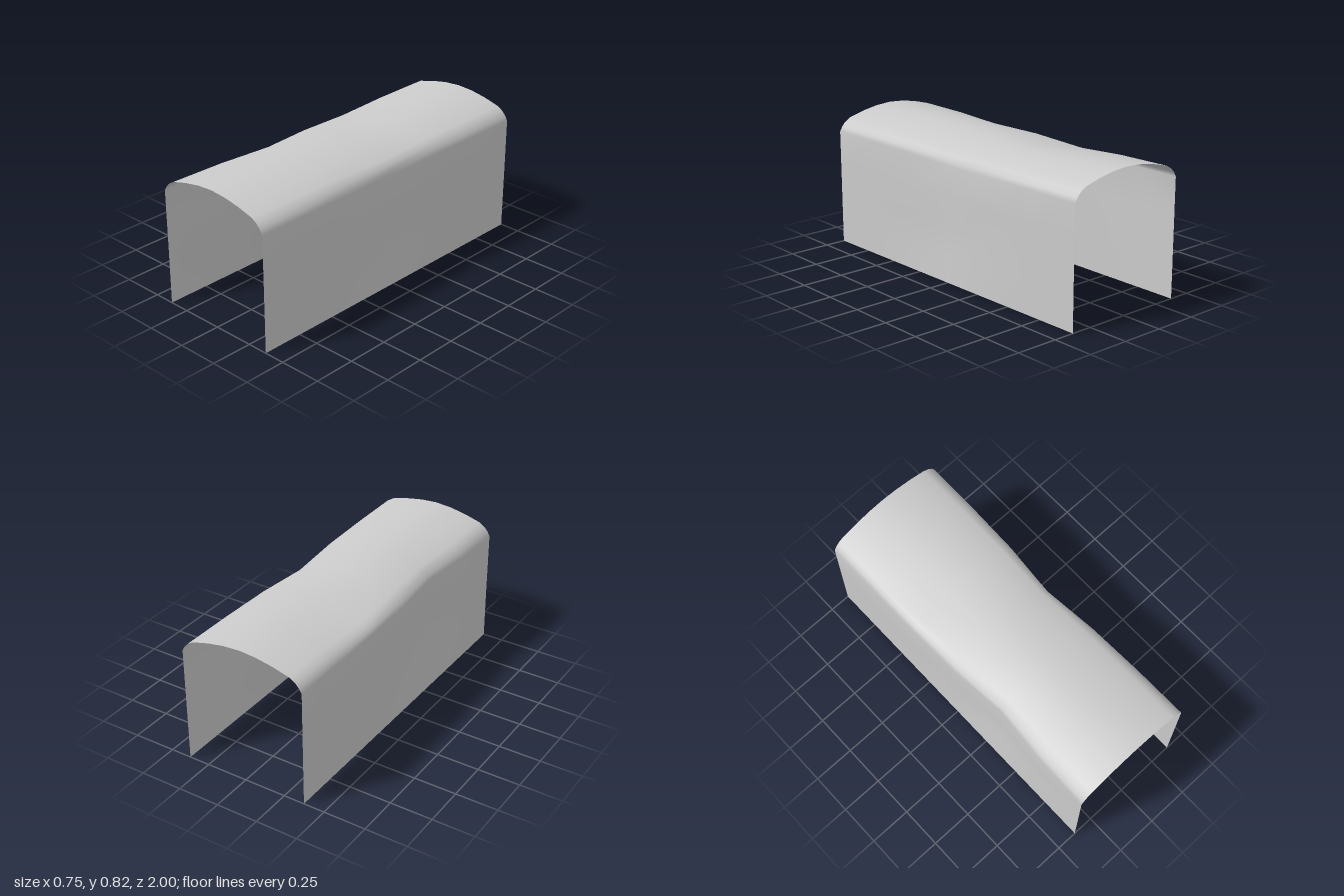
import * as THREE from 'three';

// Half of the arch cross-section, from the foot of the wall to the crown: [x, y]
const HALF = [
  [0.375, 0], [0.375, 0.17], [0.375, 0.33], [0.375, 0.49], [0.375, 0.69], [0.36, 0.717],
  [0.338, 0.742], [0.3, 0.765], [0.2, 0.792], [0.1, 0.81], [0, 0.817],
];
const SECTION = [
  ...HALF.map(([x, y]) => [-x, y]),
  ...HALF.slice(0, -1).reverse(),
];

// Dents: z of the deepest point, first column affected, and [dx, dy] per column
const DENTS = [
  // -x wall and shoulder
  { z: 1 / 3, start: 1, push: [[0.016, 0], [0.036, 0], [0.038, 0], [0.04, 0], [0.036, -0.005], [0.037, -0.006], [0.025, -0.008], [0.008, -0.006]] },
  // +x shoulder and wall
  { z: 0, start: 11, push: [[0, -0.008], [-0.004, -0.014], [-0.012, -0.023], [-0.018, -0.024], [-0.028, -0.025], [-0.037, -0.025], [-0.021, 0], [-0.028, 0], [-0.014, 0]] },
  // roof
  { z: -1 / 3, start: 5, push: [[0, -0.008], [0, -0.016], [0, -0.028], [0, -0.035], [0, -0.036], [0, -0.027], [0, -0.013], [0, -0.004]] },
];
const FALLOFF = [1, 0.28, 0.05, 0, 0, 0, 0];
const ROWS = 6;

function createShell() {
  const positions = [];
  const indices = [];
  const cols = SECTION.length;
  for (let r = 0; r <= ROWS; r++) {
    const z = 1 - (2 * r) / ROWS;
    SECTION.forEach(([sx, sy], c) => {
      let x = sx;
      let y = sy;
      for (const { z: dentZ, start, push } of DENTS) {
        const d = push[c - start];
        if (!d) continue;
        const w = FALLOFF[Math.round((Math.abs(z - dentZ) * ROWS) / 2)];
        x += d[0] * w;
        y += d[1] * w;
      }
      positions.push(x, y, z);
      if (r < ROWS && c < cols - 1) {
        const a = r * cols + c;
        indices.push(a, a + 1, a + cols, a + 1, a + cols + 1, a + cols);
      }
    });
  }
  const geometry = new THREE.BufferGeometry();
  geometry.setAttribute('position', new THREE.Float32BufferAttribute(positions, 3));
  geometry.setIndex(indices);
  geometry.computeVertexNormals();
  return geometry;
}

export function createModel() {
  const group = new THREE.Group();
  group.name = 'tunnel';
  const material = new THREE.MeshStandardMaterial({ color: 0xcccccc, side: THREE.DoubleSide });
  // Thin open arch with uneven walls and roof
  const shell = new THREE.Mesh(createShell(), material);
  shell.name = 'tunnelShell';
  group.add(shell);
  return group;
}
